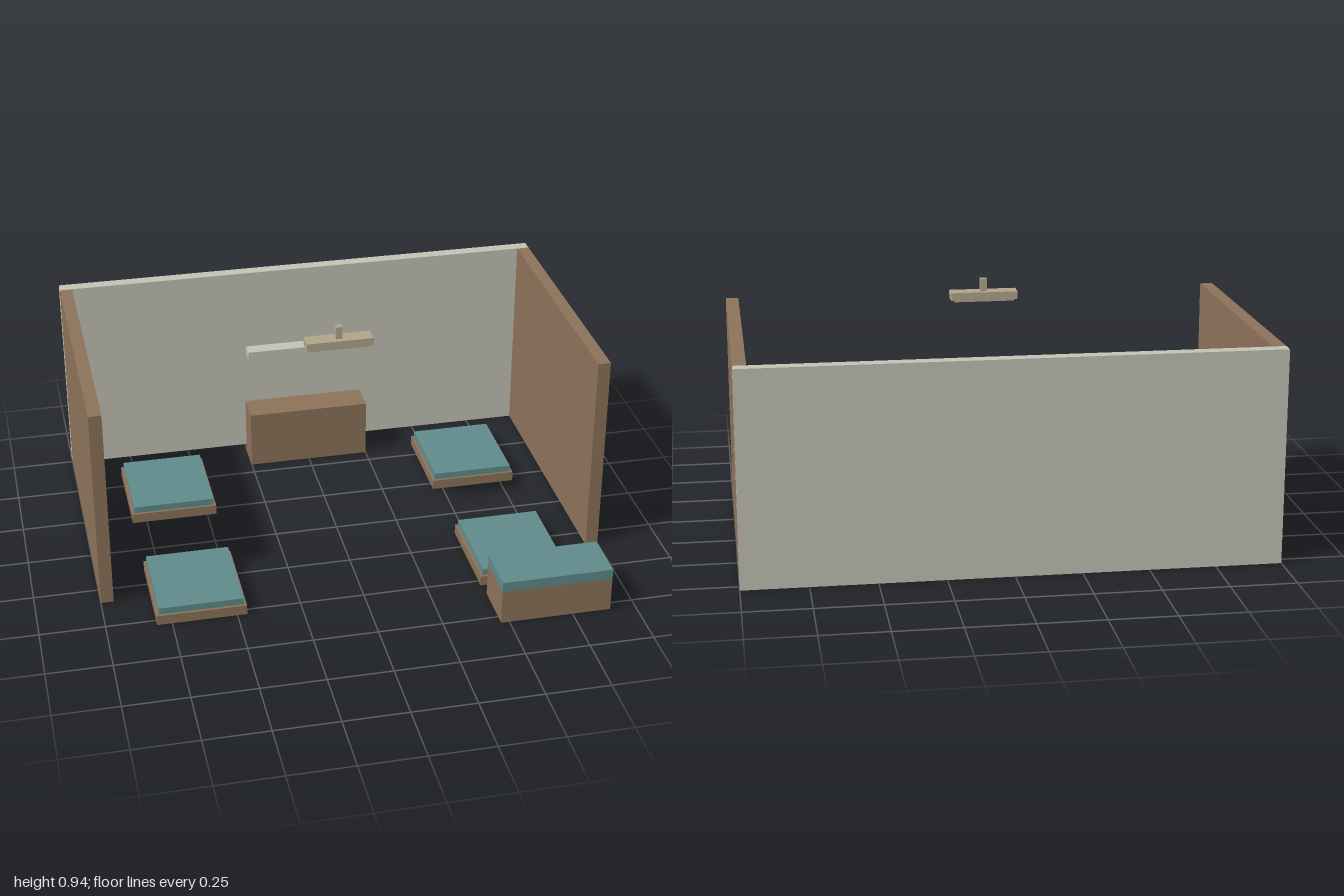
import * as THREE from 'three';

const material = (name, color) => {
  const m = new THREE.MeshStandardMaterial({ color });
  m.name = name;
  return m;
};

export function createModel() {
  const model = new THREE.Group();
  model.name = 'room';

  const plaster = material('plaster', 0xc2c2b4);
  const wood = material('wood', 0x8c7259);
  const fabric = material('teal fabric', 0x5f8a8a);
  const brass = material('dull brass', 0xafa58a);

  // Box given by its [min, max] extent on each axis
  const box = (parent, name, mat, [x0, x1], [y0, y1], [z0, z1]) => {
    const mesh = new THREE.Mesh(new THREE.BoxGeometry(x1 - x0, y1 - y0, z1 - z0), mat);
    mesh.position.set((x0 + x1) / 2, (y0 + y1) / 2, (z0 + z1) / 2);
    mesh.name = name;
    parent.add(mesh);
  };
  const group = (name) => {
    const g = new THREE.Group();
    g.name = name;
    model.add(g);
    return g;
  };

  // Walls
  const walls = group('walls');
  box(walls, 'backWall', plaster, [-1, 1], [0, 0.82], [-0.79, -0.742]);
  box(walls, 'leftWall', wood, [0.95, 1], [0, 0.82], [-0.742, 0.34]);
  box(walls, 'rightWall', wood, [-1, -0.95], [0, 0.82], [-0.742, 0.34]);

  // Cabinet against the back wall with a shelf above
  box(model, 'cabinet', wood, [-0.25, 0.25], [0, 0.24], [-0.695, -0.563]);
  box(model, 'wallShelf', plaster, [-0.234, 0.234], [0.44, 0.478], [-0.742, -0.682]);

  // Four low platforms with inset cushions
  const inset = 0.01;
  for (const x of [-0.635, 0.632]) {
    for (const z of [-0.397, 0.338]) {
      const seat = group('floorSeat');
      const w = 0.173, d = 0.193;
      box(seat, 'seatBase', wood, [x - w, x + w], [0, 0.04], [z - d, z + d]);
      box(seat, 'seatCushion', fabric, [x - w + inset, x + w - inset], [0.04, 0.067],
        [z - d + inset, z + d - inset]);
    }
  }

  // Bench at the front
  const bench = group('bench');
  box(bench, 'benchBase', wood, [0.467, 0.9], [0, 0.14], [0.59, 0.79]);
  box(bench, 'benchCushion', fabric, [0.467, 0.9], [0.14, 0.18], [0.59, 0.79]);

  // Hanging lamp
  const lamp = group('hangingLamp');
  box(lamp, 'lampBar', brass, [-0.131, 0.131], [0.855, 0.886], [0.005, 0.071]);
  box(lamp, 'lampDiffuser', brass, [-0.117, 0.117], [0.848, 0.855], [0.012, 0.064]);
  box(lamp, 'lampStem', brass, [-0.013, 0.013], [0.886, 0.936], [0.025, 0.051]);

  return model;
}
